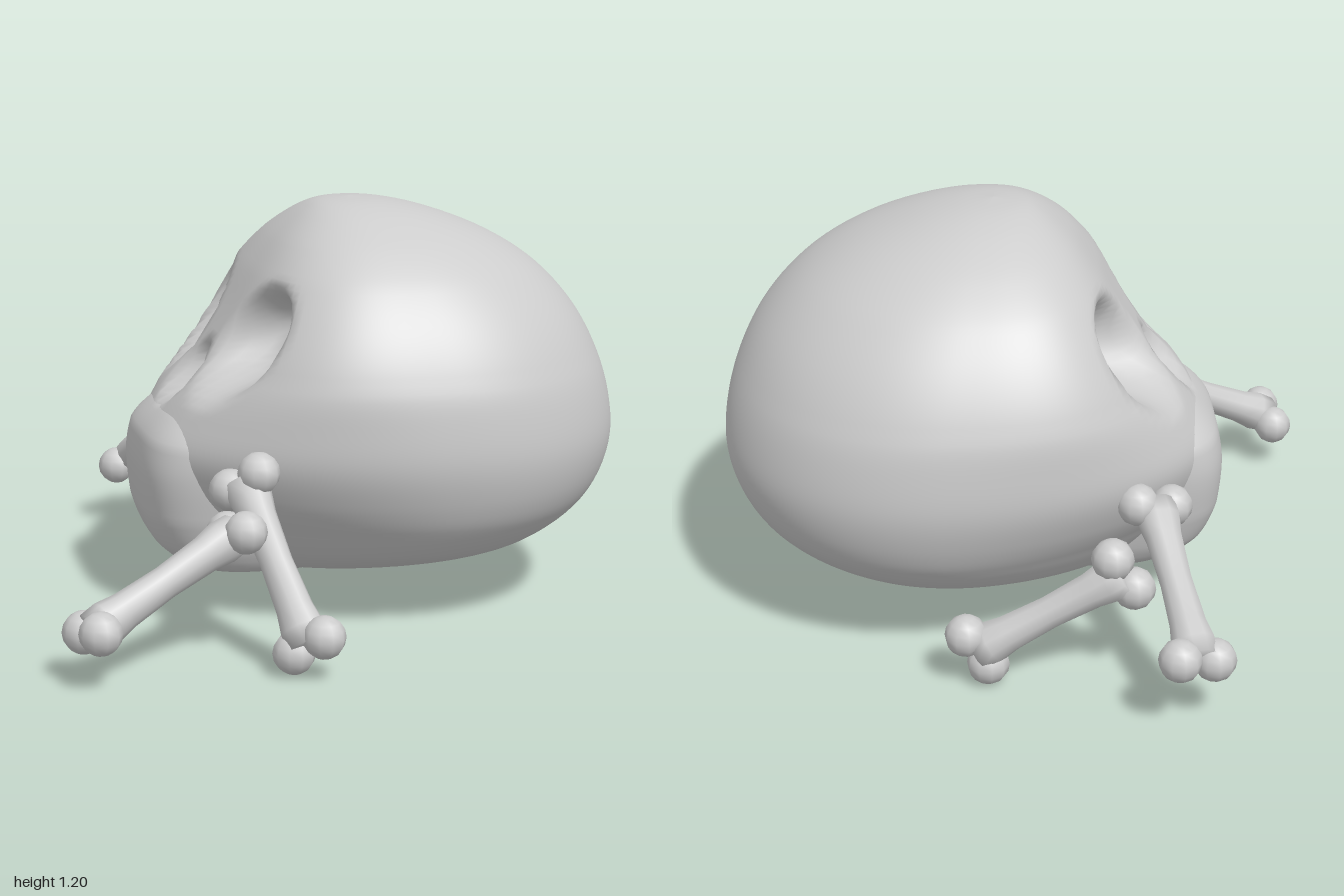
import * as THREE from 'three';

const bone = new THREE.MeshStandardMaterial({ color: 0xcccccc });
bone.name = 'bone grey';

// Horizontal slices: height, back, widest point, front, half width, roundness of the front (below 1 is squarer)
const CRANIUM = [
  [0.115, -0.2, -0.2, -0.2, 0, 1],
  [0.125, -0.5, -0.22, 0.05, 0.2, 1],
  [0.15, -0.68, -0.3, 0.16, 0.34, 1.05],
  [0.21, -0.84, -0.38, 0.25, 0.48, 1.15],
  [0.30, -0.96, -0.42, 0.33, 0.57, 1.15],
  [0.39, -1.02, -0.43, 0.37, 0.62, 1.05],
  [0.50, -1.05, -0.42, 0.37, 0.65, 0.95],
  [0.62, -1.04, -0.41, 0.3, 0.65, 0.85],
  [0.75, -1.0, -0.39, 0.19, 0.625, 0.72],
  [0.88, -0.93, -0.37, 0.11, 0.565, 0.68],
  [1.0, -0.82, -0.34, 0.04, 0.475, 0.7],
  [1.09, -0.68, -0.32, -0.03, 0.36, 0.75],
  [1.16, -0.5, -0.29, -0.11, 0.22, 0.85],
  [1.19, -0.37, -0.27, -0.17, 0.11, 0.95],
  [1.2, -0.26, -0.26, -0.26, 0, 1],
];
const MUZZLE = [
  [0.122, 0, 0, 0, 0, 0.6],
  [0.13, -0.2, 0, 0.24, 0.23, 0.6],
  [0.2, -0.3, 0, 0.345, 0.285, 0.55],
  [0.3, -0.3, 0, 0.385, 0.315, 0.52],
  [0.42, -0.3, 0, 0.395, 0.335, 0.52],
  [0.52, -0.3, 0, 0.38, 0.34, 0.55],
  [0.59, -0.3, 0, 0.32, 0.3, 0.6],
  [0.64, -0.2, 0, 0.22, 0.2, 0.7],
  [0.65, 0, 0, 0, 0, 0.7],
];

// Depth of a hollow: 1 in the middle, falling to 0 at the rim
function hollow(x, y, cx, cy, rx, ry) {
  const d = Math.hypot((x - cx) / rx, (y - cy) / ry);
  return 1 - THREE.MathUtils.smoothstep(d, 0.35, 1.05);
}

// Smooth closed surface through the slices, with eye sockets and nose pressed into the front
function slicedGeometry(slices) {
  const curveA = new THREE.CatmullRomCurve3(slices.map(s => new THREE.Vector3(s[0], s[1], s[2])));
  const curveB = new THREE.CatmullRomCurve3(slices.map(s => new THREE.Vector3(s[3], s[4], s[5])));
  const rows = (slices.length - 1) * 6, cols = 128;
  const pos = [], index = [];
  for (let i = 0; i <= rows; i++) {
    const { x: y, y: back, z: mid } = curveA.getPoint(i / rows);
    const { x: front, y: width, z: round } = curveB.getPoint(i / rows);
    for (let j = 0; j < cols; j++) {
      const a = (j / cols) * Math.PI * 2;
      const c = Math.cos(a), s = Math.sin(a);
      const e = c > 0 ? round : 0.94;
      const r = Math.pow(Math.abs(s) ** (2 / e) + Math.abs(c) ** (2 / e), -e / 2);
      let x = Math.max(width, 0) * s * r;
      let z = mid + (c > 0 ? front - mid : mid - back) * c * r;
      if (c > 0) {
        const eye = hollow(Math.abs(x), y, 0.265, 0.815, 0.165, 0.175);
        const nose = hollow(x, y, 0, 0.69, 0.08, 0.1);
        x -= Math.sign(x) * 0.03 * eye;
        z -= 0.17 * eye + 0.09 * nose;
      }
      pos.push(x, y, z);
      if (i < rows) {
        const k = (j + 1) % cols, p = i * cols, q = p + cols;
        index.push(p + j, p + k, q + k, p + j, q + k, q + j);
      }
    }
  }
  const g = new THREE.BufferGeometry();
  g.setAttribute('position', new THREE.Float32BufferAttribute(pos, 3));
  g.setIndex(index);
  g.computeVertexNormals();
  return g;
}

// A long bone between two points, with a pair of knuckles at each end
function longBone(name, from, to, spread) {
  const a = new THREE.Vector3(...from), b = new THREE.Vector3(...to);
  const across = new THREE.Vector3(...spread).normalize();
  const axis = b.clone().sub(a), L = axis.length();
  axis.normalize();
  const g = new THREE.Group();
  g.name = name;

  const profile = [[0, 0], [0.058, 0], [0.062, 0.1], [0.052, 0.22], [0.046, 0.5],
    [0.052, 0.78], [0.062, 0.9], [0.058, 1], [0, 1]].map(p => new THREE.Vector2(p[0], p[1] * L));
  const shaft = new THREE.Mesh(new THREE.LatheGeometry(profile, 10), bone);
  shaft.name = 'shaft';
  shaft.position.copy(a);
  shaft.quaternion.setFromUnitVectors(new THREE.Vector3(0, 1, 0), axis);
  g.add(shaft);

  for (const end of [a, b]) for (const s of [-1, 1]) {
    const knuckle = new THREE.Mesh(new THREE.SphereGeometry(0.06, 10, 8), bone);
    knuckle.name = 'knuckle';
    knuckle.position.copy(end).addScaledVector(across, s * 0.056);
    g.add(knuckle);
  }
  return g;
}

export function createModel() {
  const model = new THREE.Group();
  model.name = 'skullWithBones';

  // Skull, turned to its right
  const skull = new THREE.Group();
  skull.name = 'skull';
  skull.position.set(-0.04, 0, -0.04);
  skull.rotation.y = -Math.PI / 4;
  for (const [name, slices] of [['cranium', CRANIUM], ['muzzle', MUZZLE]]) {
    const part = new THREE.Mesh(slicedGeometry(slices), bone);
    part.name = name;
    skull.add(part);
  }
  model.add(skull);

  // Crossed bones on either side of the jaw
  model.add(
    longBone('leftUpperBone', [0.19, 0.48, 0.44], [0.475, 0.092, 0.57], [0.84, 0.54, 0]),
    longBone('leftLowerBone', [0.22, 0.36, 0.53], [0.015, 0.15, 0.93], [0.14, 0.04, 0.08]),
    longBone('rightUpperBone', [-0.5, 0.46, -0.27], [-0.845, 0.205, -0.5], [-0.05, -0.04, 0.14]),
    longBone('rightLowerBone', [-0.55, 0.34, -0.46], [-0.25, 0.105, -0.73], [0.04, 0.1, -0.05]),
  );
  return model;
}
